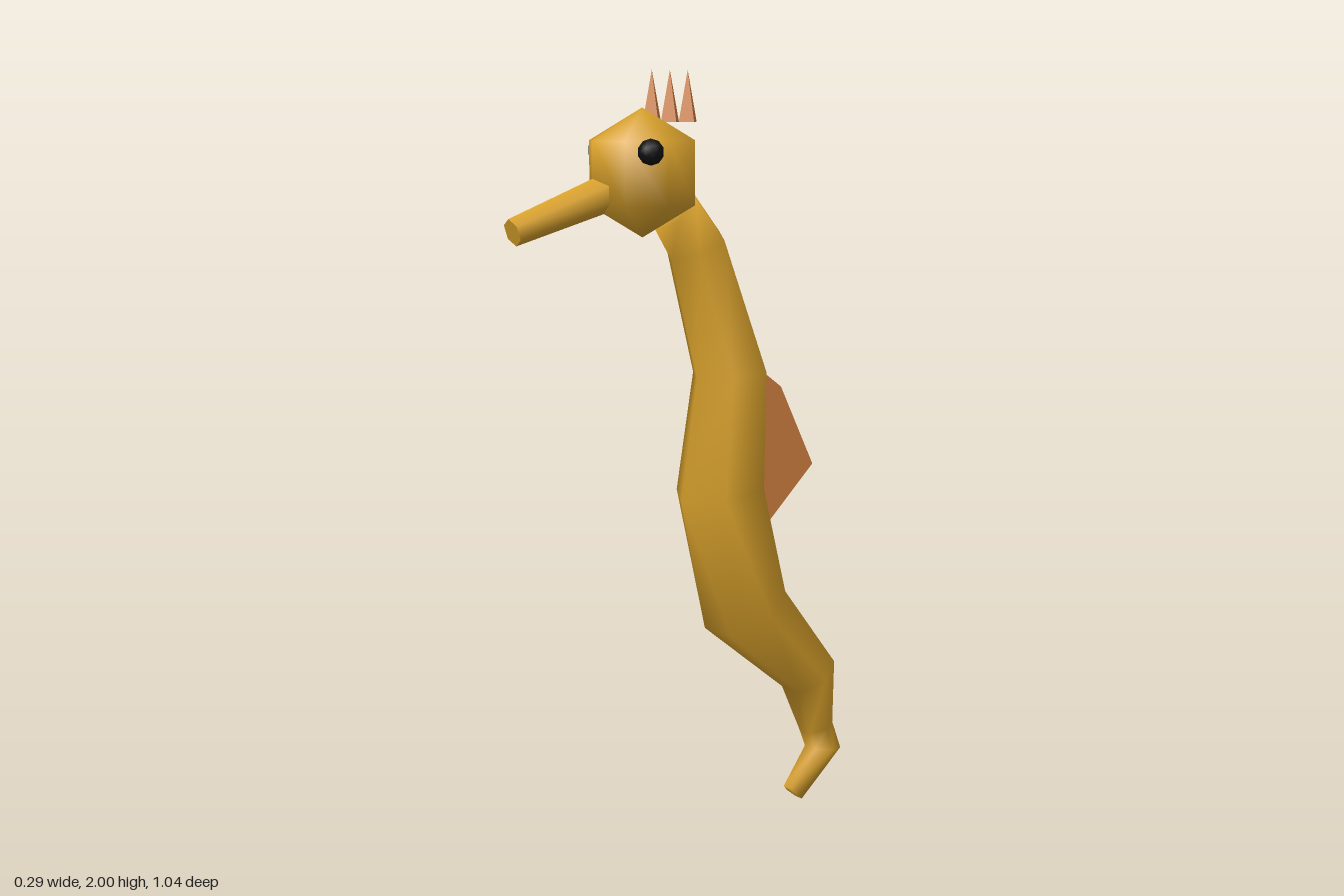
import * as THREE from 'three';

const SIDES = 6;

// Tapered body: each ring is [front z, front y, back z, back y, radius, turn]
function bodyGeometry() {
  const t = Math.PI / 6;
  const rings = [
    [0.09, 1.6, -0.02, 1.7, 0.07, 0],
    [0.04, 1.52, -0.11, 1.59, 0.085, 0],
    [-0.04, 1.21, -0.25, 1.23, 0.105, 0],
    [0.01, 0.89, -0.24, 0.93, 0.127, 0],
    [-0.11, 0.52, -0.29, 0.62, 0.12, t],
    [-0.36, 0.32, -0.48, 0.39, 0.08, t],
    [-0.41, 0.19, -0.49, 0.21, 0.046, t],
    [-0.43, 0.14, -0.52, 0.13, 0.046, t],
    [-0.35, 0.04, -0.39, 0.003, 0.03, t],
  ];
  const pos = [], index = [];
  for (const [fz, fy, bz, by, r, turn] of rings) {
    const len = Math.hypot(fz - bz, fy - by);
    const dz = (fz - bz) / len, dy = (fy - by) / len;
    // reach keeps the front and back faces on the given points
    const reach = turn ? len / 2 / Math.cos(turn) : len / 2;
    for (let j = 0; j < SIDES; j++) {
      const a = (j / SIDES) * Math.PI * 2 + turn;
      const c = Math.cos(a) * reach;
      pos.push(Math.sin(a) * r, (fy + by) / 2 + dy * c, (fz + bz) / 2 + dz * c);
    }
  }
  for (let i = 0; i < rings.length - 1; i++) {
    for (let j = 0; j < SIDES; j++) {
      const a = i * SIDES + j, b = i * SIDES + ((j + 1) % SIDES);
      index.push(a, a + SIDES, b, b, a + SIDES, b + SIDES);
    }
  }
  // end caps
  const last = (rings.length - 1) * SIDES;
  for (let j = 1; j < SIDES - 1; j++) {
    index.push(0, j, j + 1, last, last + j + 1, last + j);
  }
  const g = new THREE.BufferGeometry();
  g.setAttribute('position', new THREE.Float32BufferAttribute(pos, 3));
  g.setIndex(index);
  g.computeVertexNormals();
  return g;
}

export function createModel() {
  const group = new THREE.Group();
  const material = (name, color) => {
    const m = new THREE.MeshStandardMaterial({ color });
    m.name = name;
    return m;
  };
  const gold = material('gold skin', 0xdaa22c);
  const orange = material('orange fin', 0xd2813f);
  const black = material('black eye', 0x111111);

  const add = (name, geometry, mat, x = 0, y = 0, z = 0) => {
    const mesh = new THREE.Mesh(geometry, mat);
    mesh.name = name;
    mesh.position.set(x, y, z);
    group.add(mesh);
    return mesh;
  };
  const faceted = (geometry) => {
    const g = geometry.index ? geometry.toNonIndexed() : geometry;
    g.computeVertexNormals();
    return g;
  };

  add('body', bodyGeometry(), gold);

  // Head, narrow from side to side
  const head = add('head', new THREE.SphereGeometry(0.172, 8, 3), gold, 0, 1.745, 0.13);
  head.scale.set(0.77, 0.94, 1);

  // Snout, pointing forward and slightly down
  const from = new THREE.Vector3(0, 1.71, 0.2);
  const to = new THREE.Vector3(0, 1.61, 0.51);
  const along = to.clone().sub(from);
  const snout = add('snout', new THREE.CylinderGeometry(0.035, 0.05, along.length(), SIDES), gold);
  snout.position.copy(from).add(to).multiplyScalar(0.5);
  snout.rotation.x = Math.atan2(along.z, along.y);

  // Eyes
  for (const [side, name] of [[1, 'leftEye'], [-1, 'rightEye']]) {
    add(name, new THREE.IcosahedronGeometry(0.033, 1), black, side * 0.112, 1.8, 0.18);
  }

  // Crest of three four-sided spikes
  [0.1, 0.045, -0.01].forEach((z, i) => {
    add('crestSpike' + (i + 1), faceted(new THREE.ConeGeometry(0.028, 0.13, 4)), orange, 0, 1.935, z);
  });

  // Back fin, drawn as (distance behind the centre, height)
  const outline = [[0.2, 1.21], [0.2, 0.83], [0.26, 0.8], [0.415, 0.95], [0.305, 1.17], [0.25, 1.21]];
  const shape = new THREE.Shape(outline.map(([d, y]) => new THREE.Vector2(d, y)));
  const finGeometry = new THREE.ExtrudeGeometry(shape, { depth: 0.03, bevelEnabled: false });
  finGeometry.translate(0, 0, -0.015);
  finGeometry.rotateY(Math.PI / 2);
  add('backFin', finGeometry, orange);

  return group;
}
